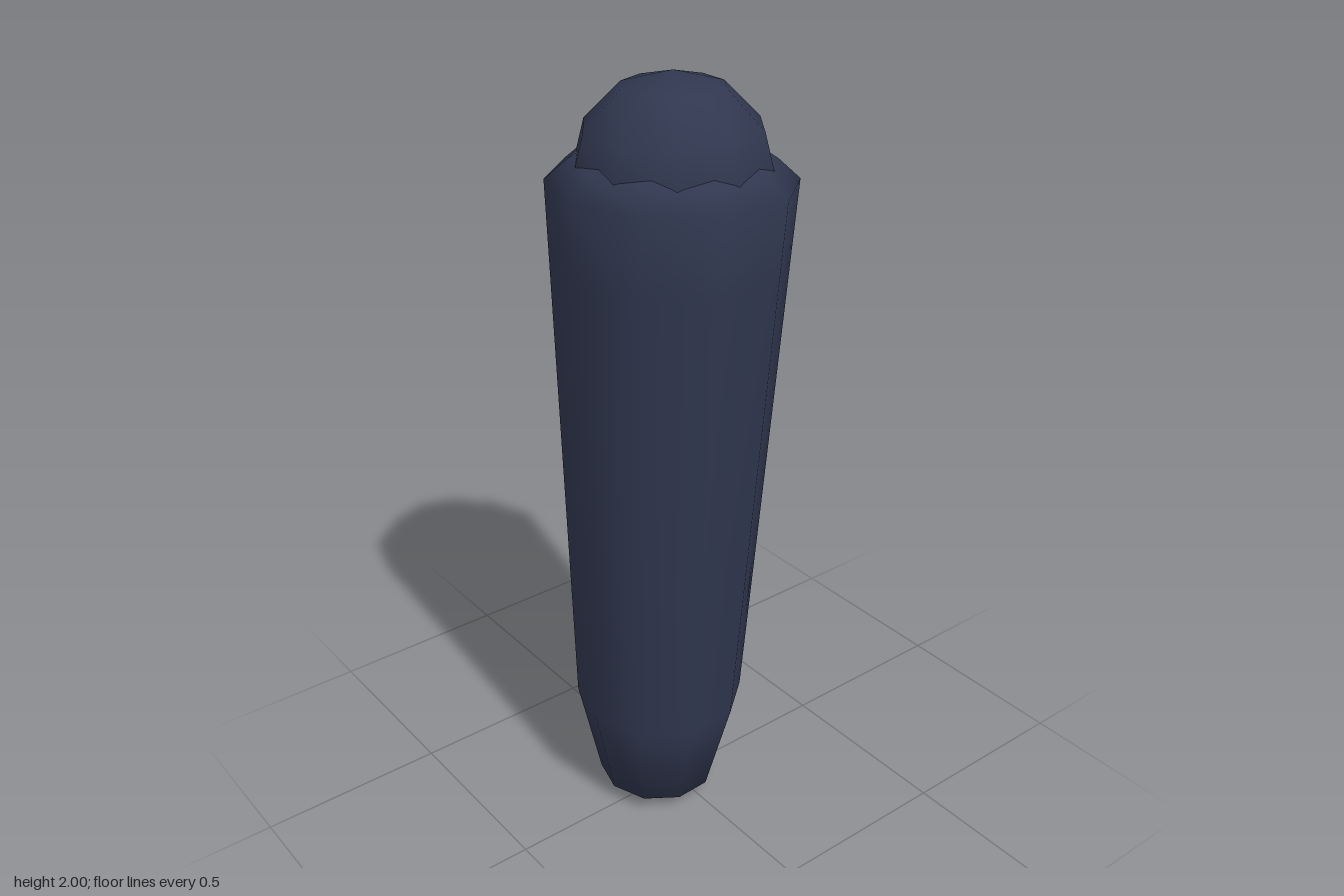
import * as THREE from 'three';

export function createModel() {
  const model = new THREE.Group();
  const material = new THREE.MeshStandardMaterial({ color: 0x30374f, roughness: 0.8 });
  const shoulderY = 1.752;

  // Ten-sided tapered body, [radius, height], leaning slightly about its shoulder
  const profile = [
    [0, 0.003], [0.157, 0.05], [0.222, 0.32], [0.285, 1.56],
    [0.295, shoulderY], [0.24, 1.8], [0.2, 1.825], [0, 1.84],
  ].map(([r, y]) => new THREE.Vector2(r, y - shoulderY));
  const body = new THREE.Mesh(
    new THREE.LatheGeometry(profile, 10, THREE.MathUtils.degToRad(3.3)), material);
  body.name = 'taperedBody';
  body.position.y = shoulderY;
  body.rotation.set(-0.0246, 0, -0.0114);
  model.add(body);

  // Rounded dome sunk into the top of the body
  const dome = new THREE.Mesh(new THREE.SphereGeometry(0.245, 10, 6), material);
  dome.name = 'roundedTop';
  dome.position.y = 1.755;
  model.add(dome);

  return model;
}
